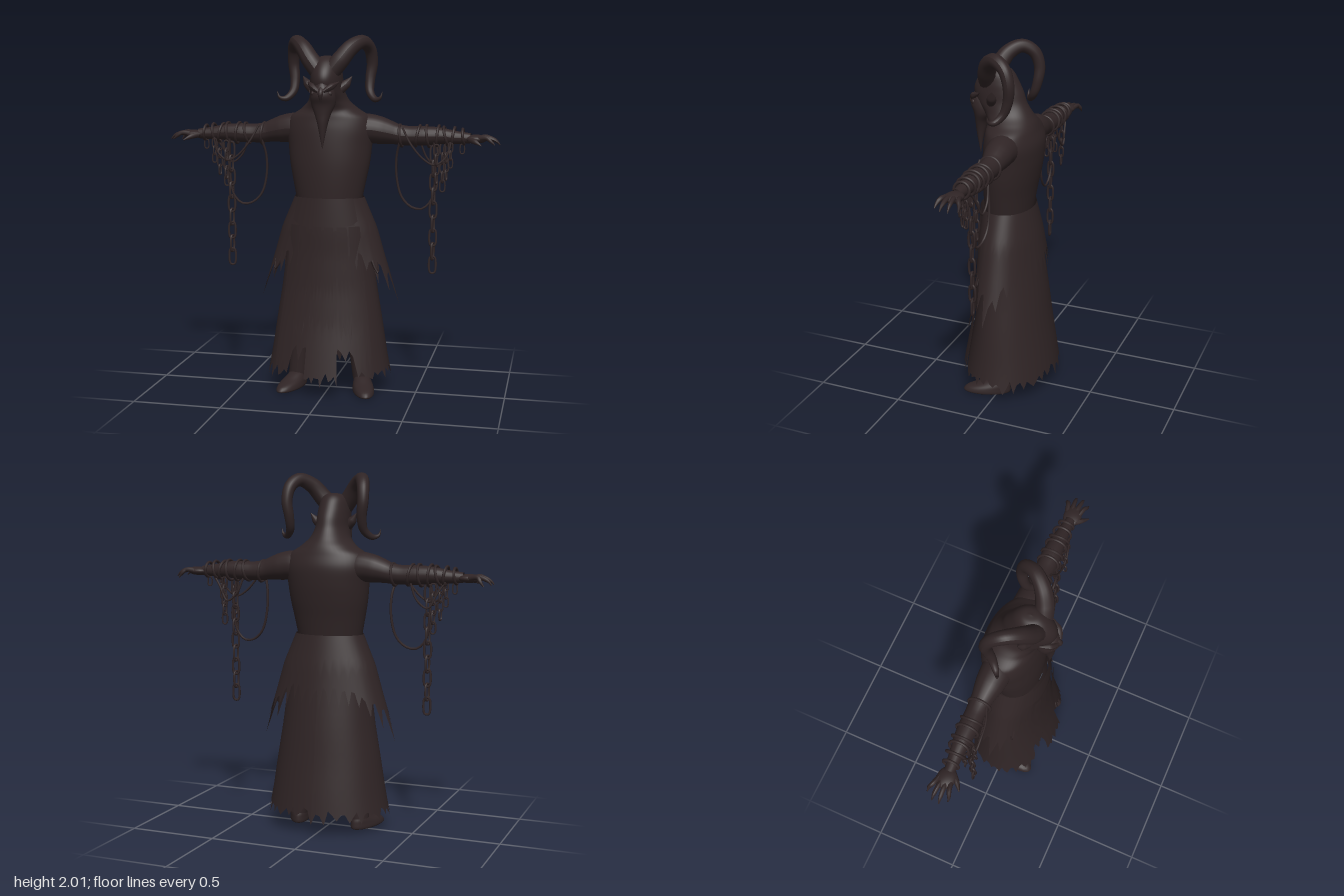
import * as THREE from 'three';

const dark = new THREE.MeshStandardMaterial({ color: 0x2f2425, side: THREE.DoubleSide });
dark.name = 'charredBrown';

const V = (x, y, z) => new THREE.Vector3(x, y, z);

function mesh(name, geometry, parent) {
  const m = new THREE.Mesh(geometry, dark);
  m.name = name;
  parent.add(m);
  return m;
}

// linear lookup in rows sorted by falling first value
function lookup(rows, y, k) {
  if (y >= rows[0][0]) return rows[0][k];
  for (let i = 1; i < rows.length; i++) {
    if (y >= rows[i][0]) {
      const t = (rows[i - 1][0] - y) / (rows[i - 1][0] - rows[i][0]);
      return rows[i - 1][k] + t * (rows[i][k] - rows[i - 1][k]);
    }
  }
  return rows[rows.length - 1][k];
}

// grid of points, rows running downwards, columns running anticlockwise from above
function grid(rows, cols, wrap, at) {
  const pos = [], idx = [];
  const n = wrap ? cols : cols + 1;
  for (let i = 0; i <= rows; i++) for (let j = 0; j < n; j++) pos.push(...at(i, j).toArray());
  for (let i = 0; i < rows; i++) for (let j = 0; j < cols; j++) {
    const a = i * n + j, c = i * n + (j + 1) % n;
    idx.push(a, a + n, c, c, a + n, c + n);
  }
  const g = new THREE.BufferGeometry();
  g.setAttribute('position', new THREE.Float32BufferAttribute(pos, 3));
  g.setIndex(idx);
  g.computeVertexNormals();
  return g;
}

// closed body from rows of [y, half width, front z, back z], smoothed along its height
function loft(rows, cols = 40, steps = 50) {
  const curveA = new THREE.CatmullRomCurve3(rows.map(r => V(r[0], r[1], 0)), false, 'centripetal');
  const curveB = new THREE.CatmullRomCurve3(rows.map(r => V(r[0], r[2], r[3])), false, 'centripetal');
  return grid(steps, cols, true, (i, j) => {
    const p = curveA.getPoint(i / steps), q = curveB.getPoint(i / steps);
    const a = j / cols * Math.PI * 2;
    return V(p.y * Math.sin(a), (p.x + q.x) / 2, (q.y + q.z) / 2 + (q.y - q.z) / 2 * Math.cos(a));
  });
}

// tube with changing radius
function taper(points, radii, seg = 40, sides = 14) {
  const path = new THREE.CatmullRomCurve3(points);
  const g = new THREE.TubeGeometry(path, seg, 1, sides, false);
  const p = g.attributes.position, v = V(0, 0, 0);
  for (let i = 0; i <= seg; i++) {
    const c = path.getPointAt(i / seg), f = i / seg * (radii.length - 1);
    const k = Math.min(Math.floor(f), radii.length - 2);
    const r = THREE.MathUtils.lerp(radii[k], radii[k + 1], f - k);
    for (let j = 0; j <= sides; j++) {
      const n = i * (sides + 1) + j;
      v.fromBufferAttribute(p, n).sub(c).multiplyScalar(r).add(c);
      p.setXYZ(n, v.x, v.y, v.z);
    }
  }
  g.computeVertexNormals();
  return g;
}

let seed = 11;
const rand = () => (seed = (seed * 16807) % 2147483647) / 2147483647;

// skirt outline: y, half width, front z, back z
const SKIRT = [[1.12, 0.187, 0.14, 0.125], [0.94, 0.232, 0.15, 0.16], [0.8, 0.247, 0.15, 0.18],
  [0.6, 0.272, 0.16, 0.21], [0.4, 0.305, 0.185, 0.235], [0.2, 0.335, 0.225, 0.265], [0.05, 0.365, 0.255, 0.285]];

// ragged cloth that follows the skirt; angle 0 is the front
function cloth(name, parent, a0, a1, cols, top, hem, off) {
  const hems = Array.from({ length: cols + 1 }, (_, j) => hem(a0 + (a1 - a0) * j / cols, j));
  if (a1 - a0 > 6.28) hems[cols] = hems[0];
  mesh(name, grid(14, cols, false, (i, j) => {
    const a = a0 + (a1 - a0) * j / cols, y = top + (hems[j] - top) * i / 14, o = off(a, y);
    const s = Math.sin(a), c = Math.cos(a);
    return V(s * (lookup(SKIRT, y, 1) + o), y, c * (lookup(SKIRT, y, c > 0 ? 2 : 3) + o));
  }), parent);
}

function chain(name, parent, x, z, top, count, w, h) {
  const pts = [[-1, -0.7], [-0.6, -1], [0.6, -1], [1, -0.7], [1, 0.7], [0.6, 1], [-0.6, 1], [-1, 0.7]];
  const path = new THREE.CatmullRomCurve3(pts.map(p => V(p[0] * w / 2, p[1] * h / 2, 0)), true, 'centripetal');
  const link = new THREE.TubeGeometry(path, 28, w * 0.2, 6, true);
  const g = new THREE.Group();
  g.name = name;
  for (let i = 0; i < count; i++) {
    const m = mesh('chainLink', link, g);
    m.position.set(x, top - h / 2 - i * h * 0.86, z);
    m.rotation.y = i % 2 ? 1.35 : 0.15;
  }
  parent.add(g);
}

function cord(name, parent, pts, r) {
  mesh(name, new THREE.TubeGeometry(new THREE.CatmullRomCurve3(pts), 30, r, 6, false), parent);
}

function buildSide(s, body) {
  const P = list => list.map(p => V(p[0] * s, p[1], p[2]));
  const side = new THREE.Group();
  side.name = s > 0 ? 'leftSide' : 'rightSide';
  body.add(side);

  // curled horn, ear, brow and eye
  mesh('horn', taper(P([[0.03, 1.8, 0.12], [0.085, 1.87, 0.105], [0.135, 1.935, 0.07], [0.185, 1.965, 0.01],
    [0.215, 1.93, -0.05], [0.225, 1.85, -0.078], [0.215, 1.76, -0.07], [0.22, 1.69, -0.045],
    [0.255, 1.652, -0.01], [0.285, 1.66, 0.01], [0.298, 1.695, 0.012]]),
    [0.05, 0.05, 0.045, 0.039, 0.035, 0.032, 0.029, 0.025, 0.018, 0.001], 70), side);
  mesh('ear', taper(P([[0.075, 1.71, 0.08], [0.105, 1.735, 0.07], [0.138, 1.78, 0.055]]), [0.03, 0.024, 0.001], 12), side);
  mesh('brow', taper(P([[0.012, 1.7, 0.222], [0.045, 1.722, 0.205], [0.085, 1.75, 0.15]]), [0.012, 0.018, 0.004], 14, 8), side);
  const eye = mesh('eye', new THREE.SphereGeometry(0.014, 12, 8), side);
  eye.position.set(0.045 * s, 1.69, 0.2);

  // arm
  mesh('arm', taper(P([[0.12, 1.48, -0.03], [0.22, 1.488, -0.035], [0.3, 1.476, -0.04], [0.4, 1.455, -0.045],
    [0.5, 1.452, -0.045], [0.6, 1.455, -0.045], [0.7, 1.448, -0.04], [0.78, 1.445, -0.035]]),
    [0.085, 0.085, 0.076, 0.058, 0.053, 0.054, 0.046, 0.036, 0.028], 40, 20), side);

  // hand
  const palm = mesh('palm', new THREE.SphereGeometry(1, 18, 12), side);
  palm.scale.set(0.062, 0.024, 0.05);
  palm.position.set(0.81 * s, 1.442, -0.035);
  [[0.915, 0.02, 1.415], [0.942, -0.02, 1.412], [0.938, -0.06, 1.41], [0.905, -0.1, 1.405]].forEach(([x, z, y], i) => {
    const z0 = -0.005 - i * 0.022;
    mesh('finger', taper(P([[0.82, 1.445, z0], [0.87, 1.45, (z0 + z) / 2], [x - 0.02, 1.432, z * 0.9 + z0 * 0.1], [x, y, z]]),
      [0.014, 0.013, 0.011, 0.003], 14, 8), side);
  });
  mesh('thumb', taper(P([[0.78, 1.44, -0.01], [0.81, 1.43, 0.022], [0.845, 1.412, 0.05]]), [0.018, 0.014, 0.003], 12, 8), side);

  // bands around the arm
  [[0.395, 0.06, 0.1], [0.49, 0.058, -0.2], [0.545, 0.059, 0.12], [0.6, 0.058, -0.1], [0.645, 0.053, 0.25],
    [0.685, 0.05, -0.15], [0.74, 0.042, 0.1]].forEach(([x, r, tilt]) => {
    const band = mesh('armBand', new THREE.TorusGeometry(r, 0.008, 8, 28), side);
    band.position.set(x * s, 1.453, -0.043);
    band.rotation.set(0, Math.PI / 2, tilt * s, 'ZYX');
  });

  // hanging cords and chains
  cord('longCord', side, P([[0.395, 1.42, 0], [0.375, 1.34, -0.02], [0.375, 1.22, -0.03], [0.405, 1.11, -0.03],
    [0.46, 1.057, -0.025], [0.52, 1.05, -0.02], [0.57, 1.1, -0.02], [0.59, 1.22, -0.02], [0.585, 1.42, 0]]), 0.007);
  cord('shortCord', side, P([[0.41, 1.5, 0.005], [0.46, 1.41, 0.02], [0.53, 1.33, 0.02], [0.59, 1.3, 0.02], [0.65, 1.34, 0.01], [0.68, 1.43, 0]]), 0.006);
  cord('shortCord', side, P([[0.5, 1.41, -0.08], [0.54, 1.32, -0.09], [0.6, 1.28, -0.09], [0.65, 1.36, -0.08], [0.69, 1.42, -0.07]]), 0.006);
  chain('longChain', side, 0.582 * s, -0.02, 1.4, 9, 0.034, 0.09);
  chain('middleChain', side, 0.625 * s, -0.07, 1.41, 5, 0.026, 0.06);
  chain('middleChain', side, 0.6 * s, 0.015, 1.41, 4, 0.026, 0.06);
  chain('shortChain', side, 0.675 * s, 0.0, 1.42, 3, 0.022, 0.05);
  chain('shortChain', side, 0.735 * s, -0.04, 1.41, 1, 0.022, 0.05);
  chain('shortChain', side, 0.65 * s, -0.02, 1.41, 4, 0.024, 0.055);

  // leg and boot
  mesh('leg', taper(P([[0.11, 0.75, 0], [0.14, 0.45, 0], [0.175, 0.2, -0.01], [0.19, 0.06, -0.015]]),
    [0.085, 0.075, 0.06, 0.055], 20), side);
  const boot = mesh('boot', loft([[0.085, 0.005, 0.02, -0.01], [0.08, 0.035, 0.05, -0.05], [0.055, 0.05, 0.11, -0.065],
    [0.03, 0.058, 0.185, -0.07], [0.008, 0.06, 0.205, -0.07], [0, 0.055, 0.2, -0.065], [0, 0.001, 0.08, 0.06]], 28, 24), side);
  boot.position.set(0.19 * s, 0, 0);
  boot.rotation.y = 0.3 * s;

  // torn strips down the front
  [[0.03, 0.22, 0.36, 0.03], [0.3, 0.52, 0.3, 0.036], [0.58, 0.88, 0.12, 0.024]].forEach(([a0, a1, hem, o]) => {
    const [lo, hi] = s > 0 ? [a0, a1] : [-a1, -a0];
    cloth('frontStrip', side, lo, hi, 6, 0.96, (a, j) => hem + (j % 2 ? 0 : 0.07) + rand() * 0.05, () => o);
  });

  // small hooked rag beside the hip
  mesh('hipRag', taper(P([[0.25, 0.8, 0.08], [0.275, 0.73, 0.09], [0.295, 0.7, 0.09], [0.293, 0.76, 0.085]]),
    [0.012, 0.01, 0.007, 0.001], 14, 6), side);
}

export function createModel() {
  const model = new THREE.Group();
  model.name = 'hornedFigure';

  // hunched torso running up into the hooded head
  mesh('torsoAndHead', loft([[1.892, 0.001, 0.07, 0.06], [1.885, 0.04, 0.115, 0.015], [1.86, 0.068, 0.155, -0.015],
    [1.81, 0.083, 0.195, -0.045], [1.76, 0.088, 0.21, -0.07], [1.7, 0.093, 0.195, -0.09], [1.645, 0.113, 0.15, -0.12],
    [1.6, 0.16, 0.12, -0.145], [1.555, 0.225, 0.122, -0.16], [1.49, 0.245, 0.132, -0.178], [1.4, 0.237, 0.14, -0.175],
    [1.3, 0.226, 0.144, -0.16], [1.2, 0.207, 0.142, -0.14], [1.08, 0.183, 0.135, -0.12]], 48, 80), model);

  // long face ending in a pointed beard
  mesh('faceAndBeard', loft([[1.76, 0.01, 0.2, 0.12], [1.72, 0.055, 0.222, 0.1], [1.675, 0.068, 0.232, 0.09],
    [1.63, 0.066, 0.215, 0.1], [1.58, 0.046, 0.208, 0.135], [1.53, 0.03, 0.205, 0.15], [1.46, 0.015, 0.195, 0.168],
    [1.39, 0.001, 0.183, 0.18]], 24, 40), model);
  mesh('nose', taper([V(0, 1.73, 0.205), V(0, 1.69, 0.228), V(0, 1.645, 0.222)], [0.008, 0.016, 0.004], 12, 10), model);

  // long underskirt with torn hem, open above the boots at the front
  cloth('underskirt', model, -Math.PI, Math.PI, 90, 1.09, (a, j) => {
    const f = Math.abs(a);
    const gap = f > 0.22 && f < 0.62 ? 0.13 : 0;
    return 0.07 + gap + (j % 3 === 0 ? 0 : 0.035) + rand() * 0.055;
  }, () => 0);

  // short ragged overskirt, longest at the hips
  cloth('overskirt', model, 0.5, Math.PI * 2 - 0.5, 76, 1.11, (a, j) => {
    const hip = Math.pow(Math.abs(Math.sin(a)), 8);
    const spike = Math.abs(Math.abs(Math.sin(a)) - 1) < 0.002 ? 0.06 : 0;
    return 0.84 - hip * 0.14 - spike - (j % 3 === 0 ? 0.09 : 0) - rand() * 0.05;
  }, (a, y) => 0.008 + (1.11 - y) * (0.02 + 0.16 * Math.pow(Math.abs(Math.sin(a)), 4)));

  // apron and centre flap
  cloth('apron', model, -0.85, 0.85, 24, 1.115, a => 0.93 + 0.05 * Math.pow(Math.abs(a) / 0.85, 2) + rand() * 0.015, () => 0.022);
  cloth('centreFlap', model, -0.26, 0.26, 12, 0.98, (a, j) => 0.07 + (j % 3) * 0.025 + rand() * 0.04, () => 0.014);

  buildSide(1, model);
  buildSide(-1, model);
  return model;
}
